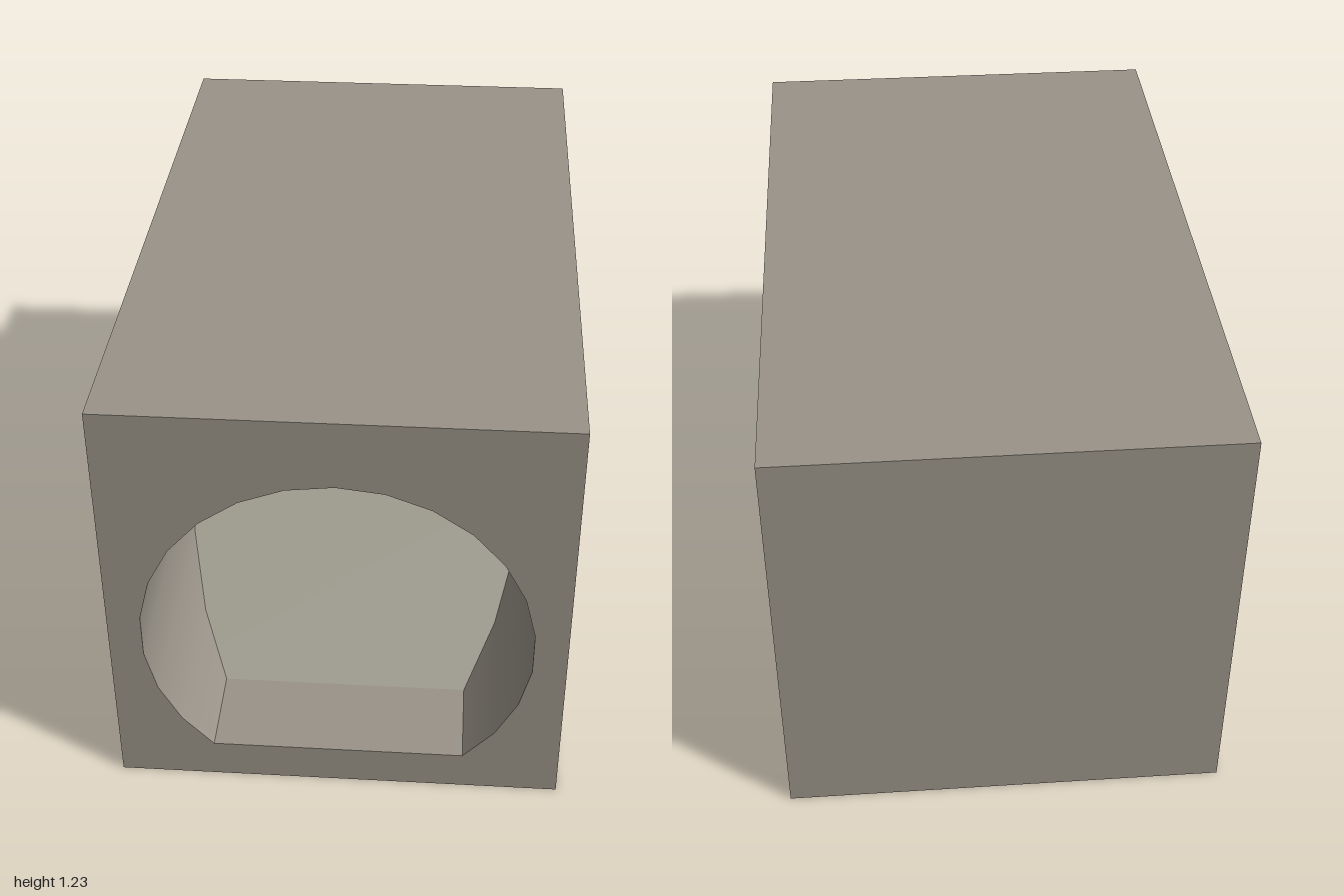
import * as THREE from 'three';
import { toCreasedNormals } from 'three/addons/utils/BufferGeometryUtils.js';

const W = 1.222, H = 1.226, L = 2;
const CENTER_Y = 0.509, RADIUS = 0.524, SEGMENTS = 20;
const FLOOR_ANGLE = THREE.MathUtils.degToRad(138.7);

// Tunnel outline: an arc running over the top, closed by a flat floor
function tunnelPoints() {
  const points = [];
  for (let i = 0; i <= SEGMENTS; i++) {
    const a = -FLOOR_ANGLE + (2 * FLOOR_ANGLE * i) / SEGMENTS;
    points.push(new THREE.Vector2(Math.sin(a) * RADIUS, CENTER_Y + Math.cos(a) * RADIUS));
  }
  return points;
}

export function createModel() {
  const group = new THREE.Group();
  const concrete = new THREE.MeshStandardMaterial({ color: 0x999388, side: THREE.DoubleSide });
  concrete.name = 'concrete';
  const rampStone = new THREE.MeshStandardMaterial({ color: 0x999689, side: THREE.DoubleSide });
  rampStone.name = 'ramp stone';

  const add = (name, geometry, material) => {
    const mesh = new THREE.Mesh(geometry, material);
    mesh.name = name;
    group.add(mesh);
  };

  // Square block with the tunnel cut through it
  const outline = new THREE.Shape([
    new THREE.Vector2(-W / 2, 0), new THREE.Vector2(W / 2, 0),
    new THREE.Vector2(W / 2, H), new THREE.Vector2(-W / 2, H),
  ]);
  outline.holes.push(new THREE.Path(tunnelPoints()));
  const shell = new THREE.ExtrudeGeometry(outline, { depth: L, bevelEnabled: false });
  shell.translate(0, 0, -L / 2);
  add('tunnelBlock', toCreasedNormals(shell, 0.5), concrete);

  // Wall closing the far end, seen from inside and outside
  const wall = new THREE.ShapeGeometry(new THREE.Shape(tunnelPoints()));
  wall.translate(0, 0, -L / 2);
  add('backWall', wall, concrete);

  // Two ramps with a landing between; the side edges sink into the tunnel wall
  const strip = (name, [z0, y0], [z1, y1], material) => {
    const rise = y1 - y0, run = z0 - z1;
    const geometry = new THREE.PlaneGeometry(1.07, Math.hypot(rise, run));
    geometry.rotateX(-Math.atan2(run, rise));
    geometry.translate(0, (y0 + y1) / 2, (z0 + z1) / 2);
    add(name, geometry, material);
  };
  const a = [0.745, 0.115], b = [0.135, 0.42], c = [0.035, 0.42], d = [-0.27, 0.725], e = [-1, 0.725];
  strip('lowerRamp', a, b, rampStone);
  strip('landing', b, c, concrete);
  strip('upperRamp', c, d, rampStone);
  strip('upperFloor', d, e, concrete);

  return group;
}
